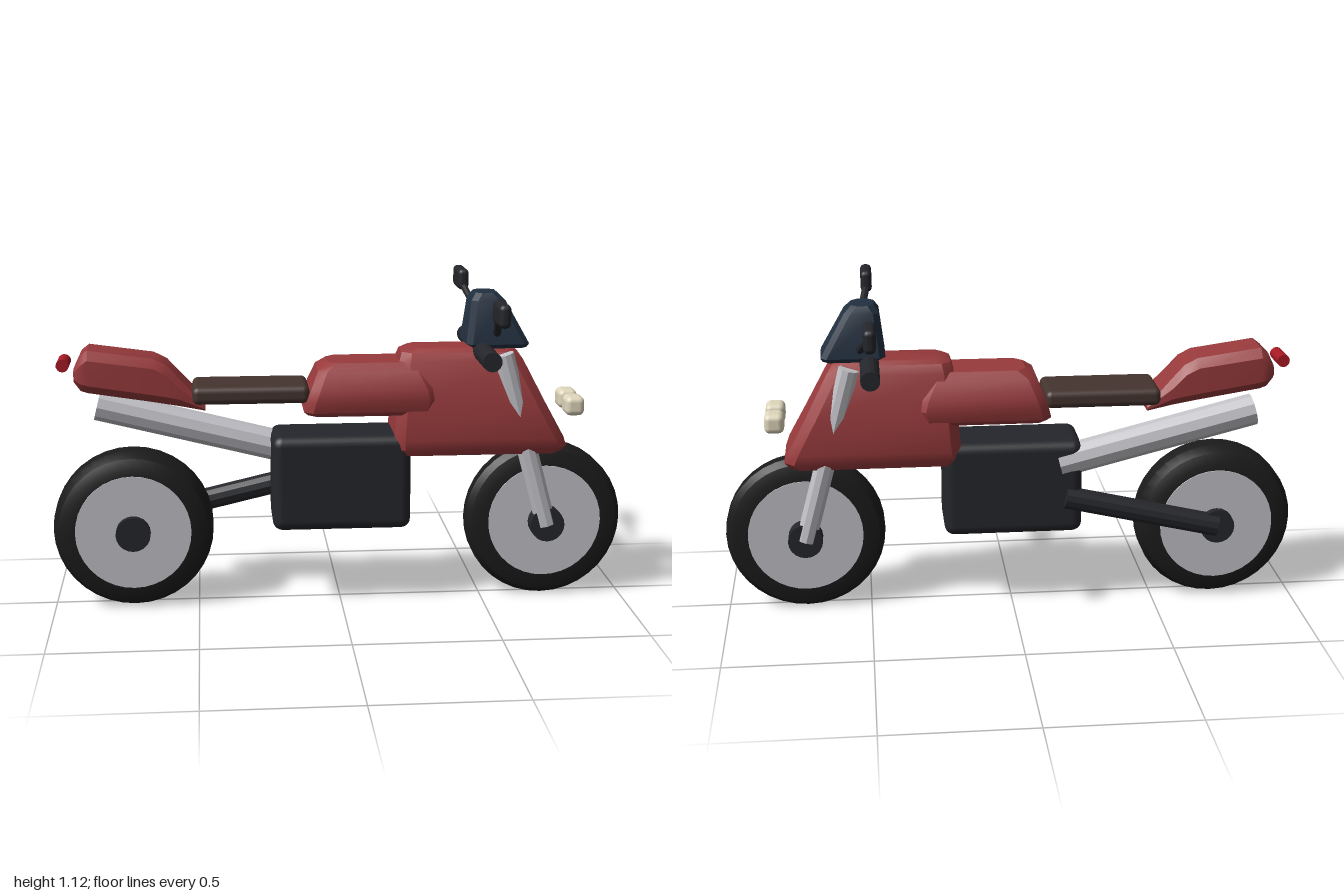
import * as THREE from 'three';
import { toCreasedNormals } from 'three/addons/utils/BufferGeometryUtils.js';
import { RoundedBoxGeometry } from 'three/addons/geometries/RoundedBoxGeometry.js';

const paint = (color) => new THREE.MeshStandardMaterial({ color, side: THREE.DoubleSide });
const RED = paint(0x983a3c), DARK = paint(0x25262b), TYRE = paint(0x1b1b1b), METAL = paint(0xc2c2c8);
const GLASS = paint(0x223040), SEAT = paint(0x45342f), CREAM = paint(0xe0d7bd), TAIL = paint(0xa81a24);

function add(group, name, geometry, material) {
  const mesh = new THREE.Mesh(geometry, material);
  mesh.name = name;
  group.add(mesh);
  return mesh;
}

// Round bar between two points
function bar(group, name, a, b, r, material, sides = 12) {
  const from = new THREE.Vector3(...a), to = new THREE.Vector3(...b);
  const dir = to.clone().sub(from);
  const geo = toCreasedNormals(new THREE.CylinderGeometry(r, r, dir.length(), sides), 0.4);
  const mesh = add(group, name, geo, material);
  mesh.position.copy(from).add(to).multiplyScalar(0.5);
  mesh.quaternion.setFromUnitVectors(new THREE.Vector3(0, 1, 0), dir.normalize());
  return mesh;
}

function box(group, name, min, max, radius, material) {
  const size = max.map((v, i) => v - min[i]);
  const mesh = add(group, name, new RoundedBoxGeometry(...size, 3, radius), material);
  mesh.position.set(...min.map((v, i) => (v + max[i]) / 2));
  return mesh;
}

// Closed shell through chamfered rectangles: [position, low, high, half width]
// along 'y' the low and high values are x; along 'x' they are y
function loft(sections, along, chamfer) {
  const pos = [], index = [], n = 8;
  for (const [t, lo, hi, w] of sections) {
    const c = Math.min(chamfer, (hi - lo) * 0.3, w * 0.4);
    const ring = [
      [lo + c, -w], [hi - c, -w], [hi, -w + c], [hi, w - c],
      [hi - c, w], [lo + c, w], [lo, w - c], [lo, -w + c],
    ];
    for (const [a, z] of ring) pos.push(...(along === 'y' ? [a, t, z] : [t, a, z]));
  }
  const flip = along === 'x';
  const tri = (a, b, c) => index.push(a, flip ? c : b, flip ? b : c);
  for (let s = 0; s < sections.length - 1; s++) {
    for (let i = 0; i < n; i++) {
      const a = s * n + i, b = s * n + (i + 1) % n;
      tri(a, a + n, b);
      tri(b, a + n, b + n);
    }
  }
  const last = (sections.length - 1) * n;
  for (let i = 1; i < n - 1; i++) {
    tri(0, i, i + 1);
    tri(last, last + i + 1, last + i);
  }
  const geo = new THREE.BufferGeometry();
  geo.setAttribute('position', new THREE.Float32BufferAttribute(pos, 3));
  geo.setIndex(index);
  return toCreasedNormals(geo, 0.5);
}

// Tyre with a rounded tread, solid rim disc and hub
function wheel(name, x, w) {
  const g = new THREE.Group();
  g.name = name;
  const half = [[0.195, w], [0.225, w * 0.97], [0.258, w * 0.8], [0.277, w * 0.38]];
  const profile = [...half.map(([r, y]) => [r, -y]), ...half.slice().reverse()]
    .map(([r, y]) => new THREE.Vector2(r, y));
  const tyre = new THREE.LatheGeometry(profile, 36).rotateX(Math.PI / 2);
  add(g, 'tyre', toCreasedNormals(tyre, 0.5), TYRE);
  bar(g, 'rim', [0, 0, -w - 0.004], [0, 0, w + 0.004], 0.2, METAL, 36);
  bar(g, 'hub', [0, 0, -0.12], [0, 0, 0.12], 0.06, DARK, 20);
  g.position.set(x, 0.283, 0);
  return g;
}

export function createModel() {
  const bike = new THREE.Group();
  bike.name = 'motorcycle';

  bike.add(wheel('rearWheel', -0.722, 0.088), wheel('frontWheel', 0.722, 0.06));

  // Engine, swing arm and exhaust
  box(bike, 'engine', [-0.24, 0.28, -0.12], [0.24, 0.615, 0.12], 0.035, DARK);
  bar(bike, 'swingArm', [-0.72, 0.285, -0.105], [-0.18, 0.41, -0.105], 0.04, DARK);
  bar(bike, 'exhaust', [-0.84, 0.702, -0.075], [-0.16, 0.53, -0.075], 0.055, METAL, 10);

  // Bodywork
  add(bike, 'fairing', loft([
    [0.543, 0.195, 0.765, 0.12],
    [0.565, 0.18, 0.783, 0.132],
    [0.6, 0.18, 0.77, 0.141],
    [0.72, 0.19, 0.705, 0.125],
    [0.865, 0.2, 0.63, 0.1],
    [0.895, 0.21, 0.61, 0.08],
    [0.908, 0.235, 0.59, 0.062],
  ], 'y', 0.035), RED);
  add(bike, 'tank', loft([
    [0.685, -0.115, 0.3, 0.11],
    [0.7, -0.13, 0.32, 0.127],
    [0.74, -0.12, 0.33, 0.138],
    [0.78, -0.105, 0.32, 0.134],
    [0.84, -0.08, 0.29, 0.105],
    [0.865, -0.045, 0.26, 0.08],
  ], 'y', 0.03), RED);
  add(bike, 'tailCowl', loft([
    [-0.907, 0.81, 0.855, 0.075],
    [-0.885, 0.78, 0.9, 0.092],
    [-0.86, 0.773, 0.919, 0.096],
    [-0.64, 0.738, 0.888, 0.096],
    [-0.595, 0.73, 0.865, 0.096],
    [-0.55, 0.722, 0.815, 0.094],
    [-0.465, 0.708, 0.725, 0.085],
  ], 'x', 0.03), RED);
  box(bike, 'seat', [-0.51, 0.73, -0.105], [-0.11, 0.792, 0.105], 0.022, SEAT);
  add(bike, 'windshield', loft([
    [0.908, 0.455, 0.64, 0.08],
    [0.922, 0.43, 0.648, 0.089],
    [1.07, 0.448, 0.565, 0.071],
    [1.095, 0.465, 0.54, 0.055],
  ], 'y', 0.02), GLASS);

  // Steering: bar across the top, fork legs, mirrors and headlights per side
  bar(bike, 'handlebar', [0.485, 0.898, -0.28], [0.485, 0.898, 0.28], 0.033, DARK, 14);
  for (const [side, s] of [['left', -1], ['right', 1]]) {
    bar(bike, side + 'Fork', [0.72, 0.28, s * 0.095], [0.555, 0.89, s * 0.095], 0.036, METAL, 10);
    bar(bike, side + 'MirrorStem', [0.515, 0.98, s * 0.185], [0.485, 1.065, s * 0.375], 0.013, DARK, 8);
    const z = [s * 0.35, s * 0.49].sort((a, b) => a - b);
    box(bike, side + 'Mirror', [0.465, 1.045, z[0]], [0.505, 1.122, z[1]], 0.017, DARK);
    const h = [s * 0.017, s * 0.101].sort((a, b) => a - b);
    box(bike, side + 'Headlight', [0.778, 0.668, h[0]], [0.845, 0.735, h[1]], 0.02, CREAM);
  }

  bar(bike, 'tailLight', [-0.945, 0.865, -0.052], [-0.945, 0.865, 0.052], 0.022, TAIL, 14);
  return bike;
}
